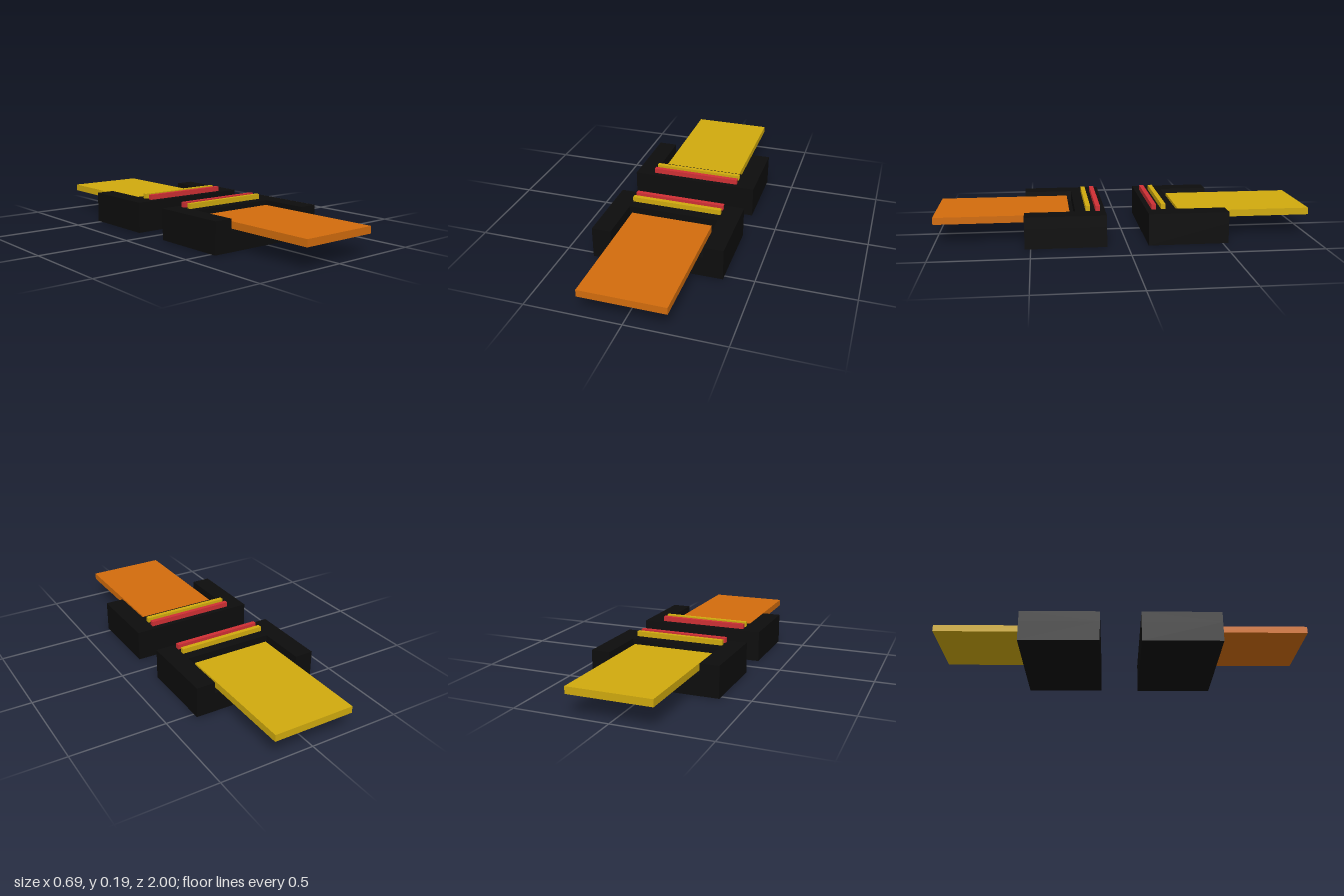
import * as THREE from 'three';

const flat = (name, color) => {
  const m = new THREE.MeshStandardMaterial({ color });
  m.name = name;
  return m;
};

export function createModel() {
  const black = flat('black', 0x0d0d0d);
  const yellow = flat('yellow', 0xd0aa0e);
  const orange = flat('orange', 0xd26c0d);
  const red = flat('red', 0xcf2f34);

  // Box given by its half width, and its y and z ranges
  const slab = (name, material, halfX, y0, y1, z0, z1) => {
    const mesh = new THREE.Mesh(new THREE.BoxGeometry(halfX * 2, y1 - y0, z1 - z0), material);
    mesh.name = name;
    mesh.position.set(0, (y0 + y1) / 2, (z0 + z1) / 2);
    return mesh;
  };

  // U-shaped rim, open toward +z, around the slot for the tongue
  const rimShape = () => {
    const pts = [[-0.345, -0.53], [-0.243, -0.53], [-0.243, -0.265], [0.243, -0.265],
      [0.243, -0.53], [0.345, -0.53], [0.345, -0.108], [-0.345, -0.108]];
    return new THREE.Shape(pts.map(([x, y]) => new THREE.Vector2(x, y)));
  };

  const makeHalf = (name, tongueMaterial) => {
    const half = new THREE.Group();
    half.name = name;

    // Housing: solid base and raised rim
    half.add(slab('housingBase', black, 0.345, 0, 0.108, 0.108, 0.53));
    const rimGeometry = new THREE.ExtrudeGeometry(rimShape(), { depth: 0.059, bevelEnabled: false });
    rimGeometry.rotateX(-Math.PI / 2);
    const rim = new THREE.Mesh(rimGeometry, black);
    rim.name = 'housingRim';
    rim.position.y = 0.108;
    half.add(rim);

    // Tongue lying in the slot and reaching outward
    half.add(slab('tongue', tongueMaterial, 0.219, 0.11, 0.147, 0.292, 1));

    // Two raised ridges across the top
    half.add(slab('innerRidge', red, 0.243, 0.167, 0.194, 0.136, 0.16));
    half.add(slab('outerRidge', yellow, 0.243, 0.167, 0.194, 0.187, 0.211));
    return half;
  };

  const model = new THREE.Group();
  model.name = 'connectorPair';
  const front = makeHalf('frontConnector', orange);
  const back = makeHalf('backConnector', yellow);
  back.rotation.y = Math.PI;
  model.add(front, back);
  return model;
}
